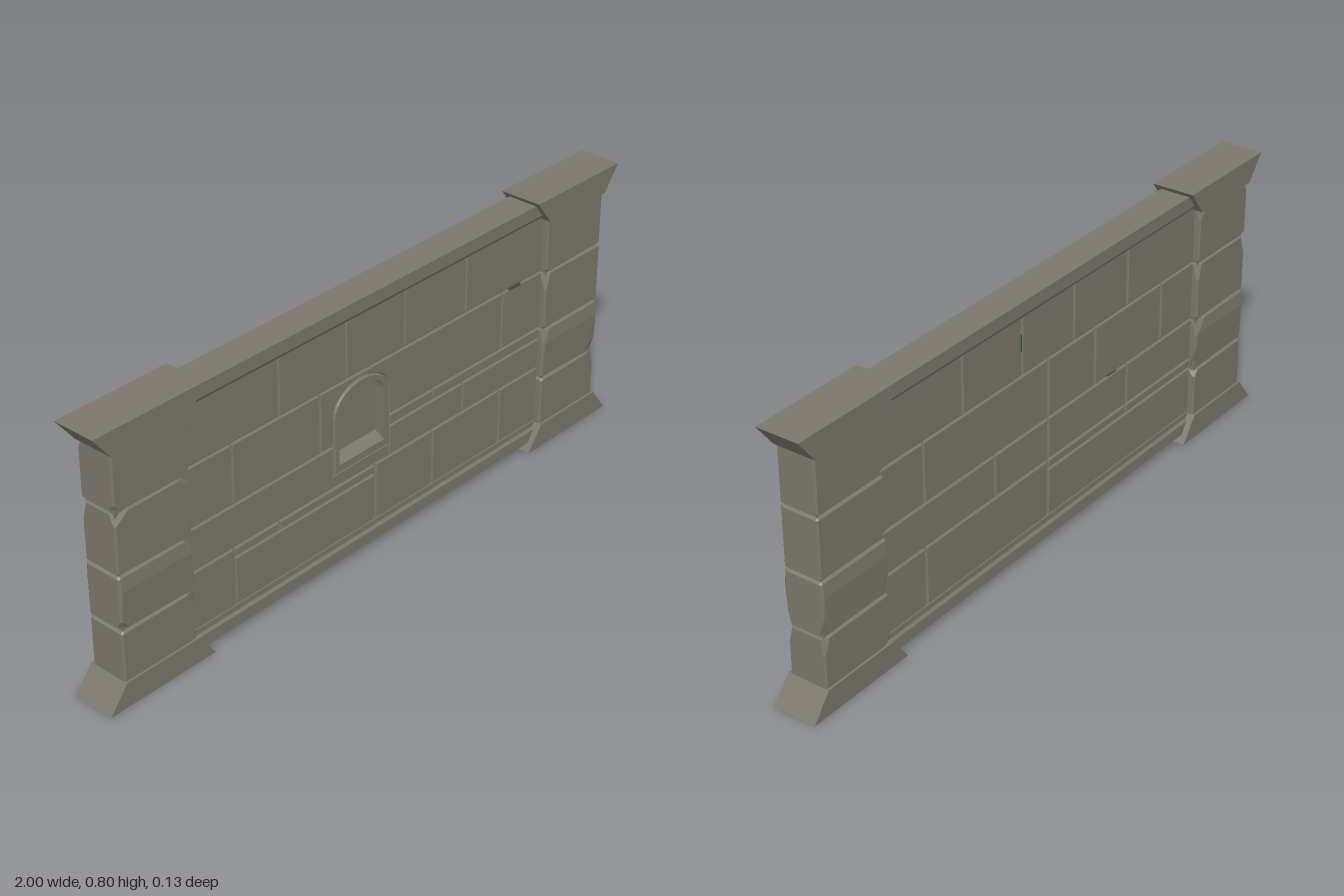
import * as THREE from 'three';
import { ConvexGeometry } from 'three/addons/geometries/ConvexGeometry.js';

const stone = new THREE.MeshStandardMaterial({ color: 0x7b776b });
stone.name = 'stone';
const moss = new THREE.MeshStandardMaterial({ color: 0x3c5a34 });
moss.name = 'moss';

// small seeded generator for the chipped corners
let seed = 11;
const rnd = () => (seed = (seed * 16807) % 2147483647) / 2147483647;

const toShape = pts => new THREE.Shape(pts.map(p => new THREE.Vector2(p[0], p[1])));

function extrude(parent, name, shape, z, depth, bevel = 0) {
  const geo = new THREE.ExtrudeGeometry(shape, {
    depth: depth - bevel, bevelEnabled: bevel > 0, bevelSegments: 1,
    bevelSize: bevel, bevelThickness: bevel, bevelOffset: -bevel,
  });
  const mesh = new THREE.Mesh(geo, stone);
  mesh.name = name;
  mesh.position.z = z;
  parent.add(mesh);
  return mesh;
}

// rectangle corners with a narrow joint all round
const rect = (x0, x1, y0, y1, g = 0.003) =>
  [[x0 + g, y0 + g], [x1 - g, y0 + g], [x1 - g, y1 - g], [x0 + g, y1 - g]];

// arched niche outline, from bottom left over the top to bottom right
function arch(inset, bottom) {
  const pts = [[-0.055 - 0.11 + inset, bottom]];
  for (let i = 0; i <= 14; i++) {
    const a = Math.PI * (1 - i / 14);
    pts.push([-0.055 + (0.11 - inset) * Math.cos(a), 0.468 + (0.08 - inset) * Math.sin(a)]);
  }
  pts.push([0.055 - inset, bottom]);
  return pts;
}

// convex block whose corners are cut off by chips of varying size
function chippedBlock(w, h, d, bulge) {
  const pts = [];
  for (const sx of [-1, 1]) for (const sy of [-1, 1]) for (const sz of [-1, 1]) {
    const big = rnd() < 0.4;
    const cx = big ? 0.015 + rnd() * 0.035 : 0.007;
    const cy = big ? 0.02 + rnd() * 0.04 : 0.008;
    const cz = big ? 0.012 + rnd() * 0.008 : 0.006;
    const X = w / 2, Y = h / 2, Z = d / 2, e = 0.005;
    pts.push(
      new THREE.Vector3(sx * (X - cx), sy * (Y - e), sz * Z),
      new THREE.Vector3(sx * X, sy * (Y - cy), sz * (Z - e)),
      new THREE.Vector3(sx * (X - e), sy * (Y - cy), sz * Z),
      new THREE.Vector3(sx * X, sy * (Y - e), sz * (Z - cz)),
      new THREE.Vector3(sx * (X - cx), sy * Y, sz * (Z - cz)));
    if (bulge) pts.push(new THREE.Vector3(sx * (X - 0.006), 0.035, sz * (Z + bulge)));
  }
  return new ConvexGeometry(pts);
}

// end pillar with flared base and cap
function pillar(side) {
  const g = new THREE.Group();
  g.name = side > 0 ? 'leftPillar' : 'rightPillar';
  const inner = 0.695 * side, outer = 0.943 * side, mid = (inner + outer) / 2;
  const foot = [[0.64 * side, 0], [side, 0], [outer, 0.073], [inner, 0.073]];
  extrude(g, 'pillarBase', toShape(foot), -0.065, 0.13);
  extrude(g, 'pillarCap', toShape(foot.map(([x, y]) => [x, 0.8 - y])), -0.065, 0.13);
  const seams = [0.06, 0.222, 0.384, 0.565, 0.74];
  for (let i = 0; i < 4; i++) {
    const h = seams[i + 1] - seams[i];
    const block = new THREE.Mesh(chippedBlock(0.248, h - 0.003, 0.116, i === 1 ? 0.004 : 0), stone);
    block.name = 'pillarBlock';
    block.position.set(mid, seams[i] + h / 2, 0);
    g.add(block);
  }
  const core = new THREE.Mesh(new THREE.BoxGeometry(0.232, 0.68, 0.1), stone);
  core.name = 'pillarCore';
  core.position.set(mid, 0.4, 0);
  g.add(core);
  return g;
}

// bricks given as [x0, x1, y0, y1]
function bricks(parent, list) {
  for (const b of list) extrude(parent, 'brick', toShape(rect(...b)), 0.026, 0.013, 0.003);
}

// row of bricks between the given joints
const row = (y0, y1, joints) => {
  const xs = [-0.7, ...joints, 0.7];
  return xs.slice(1).map((x, i) => [xs[i], x, y0, y1]);
};

export function createModel() {
  seed = 11;
  const model = new THREE.Group();
  model.name = 'stoneWall';
  model.add(pillar(1), pillar(-1));

  // coping and stepped plinth run along the wall
  const profile = (name, half) => {
    const pts = [...half, ...half.slice().reverse().map(([z, y]) => [-z, y])];
    const mesh = extrude(model, name, toShape(pts), 0, 1.4);
    mesh.rotation.y = Math.PI / 2;
    mesh.position.set(-0.7, 0, 0);
  };
  profile('coping', [[0.039, 0.735], [0.047, 0.747], [0.047, 0.785]]);
  profile('plinth', [[0.047, 0.02], [0.047, 0.055], [0.04, 0.062], [0.04, 0.078]]);

  // wall core, with the niche cut into its front half
  extrude(model, 'coreBack', toShape(rect(-0.7, 0.7, 0.05, 0.75, 0)), -0.032, 0.034);
  const coreFront = toShape(rect(-0.7, 0.7, 0.05, 0.75, 0));
  coreFront.holes.push(new THREE.Path(toShape(arch(0.014, 0.309)).getPoints()));
  extrude(model, 'coreFront', coreFront, 0.002, 0.03);

  // front bricks
  const front = new THREE.Group();
  front.name = 'frontBricks';
  const topJoints = [-0.365, -0.115, 0.115, 0.365];
  bricks(front, [
    ...row(0.565, 0.745, topJoints),
    [-0.7, -0.535, 0.385, 0.565], [-0.535, -0.215, 0.385, 0.565], [0.525, 0.7, 0.385, 0.565],
    [0.235, 0.7, 0.35, 0.385], [0.055, 0.235, 0.35, 0.385],
    [0.055, 0.36, 0.255, 0.35], [0.36, 0.7, 0.255, 0.35],
    [-0.7, -0.535, 0.075, 0.255], [-0.535, 0, 0.075, 0.225],
    [-0.535, -0.37, 0.225, 0.255], [-0.37, 0, 0.225, 0.255],
    [0, 0.235, 0.075, 0.255], [0.235, 0.525, 0.075, 0.255], [0.525, 0.7, 0.075, 0.255],
  ]);
  // bricks notched around the niche
  extrude(front, 'archBrick', toShape([[-0.212, 0.388], ...arch(0, 0.388),
    [0.522, 0.388], [0.522, 0.562], [-0.212, 0.562]]), 0.026, 0.013, 0.003);
  extrude(front, 'sillBrick', toShape([[-0.697, 0.258], [0.052, 0.258], [0.052, 0.295],
    [-0.165, 0.295], [-0.165, 0.382], [-0.697, 0.382]]), 0.026, 0.013, 0.003);
  model.add(front);

  // niche rim and sloping sill
  const rim = toShape(arch(0.001, 0.296));
  rim.holes.push(new THREE.Path(toShape(arch(0.015, 0.31)).getPoints()));
  extrude(model, 'nicheRim', rim, 0.02, 0.023, 0.004);
  const sill = extrude(model, 'nicheSill',
    toShape([[-0.034, 0.305], [-0.002, 0.305], [-0.002, 0.33], [-0.034, 0.312]]), 0, 0.194);
  sill.rotation.y = Math.PI / 2;
  sill.position.x = -0.152;

  // back bricks, laid out as seen from behind
  const back = new THREE.Group();
  back.name = 'backBricks';
  back.rotation.y = Math.PI;
  bricks(back, [
    ...row(0.565, 0.745, topJoints),
    ...row(0.385, 0.565, [-0.525, 0, 0.215, 0.535]),
    ...row(0.255, 0.385, [-0.235, 0, 0.37]),
    [-0.7, -0.525, 0.075, 0.255], [-0.525, 0, 0.075, 0.255],
    [0, 0.7, 0.075, 0.225], [0, 0.37, 0.225, 0.255], [0.37, 0.7, 0.225, 0.255],
  ]);
  model.add(back);

  // slivers of moss in the joints
  for (const [x, y, w, h, z] of [[0.58, 0.562, 0.05, 0.007, 0.036], [0.115, 0.66, 0.004, 0.05, -0.034],
    [0.36, 0.66, 0.003, 0.04, 0.034], [-0.3, 0.385, 0.04, 0.004, -0.034]]) {
    const m = new THREE.Mesh(new THREE.BoxGeometry(w, h, 0.006), moss);
    m.name = 'moss';
    m.position.set(x, y, z);
    model.add(m);
  }
  return model;
}
